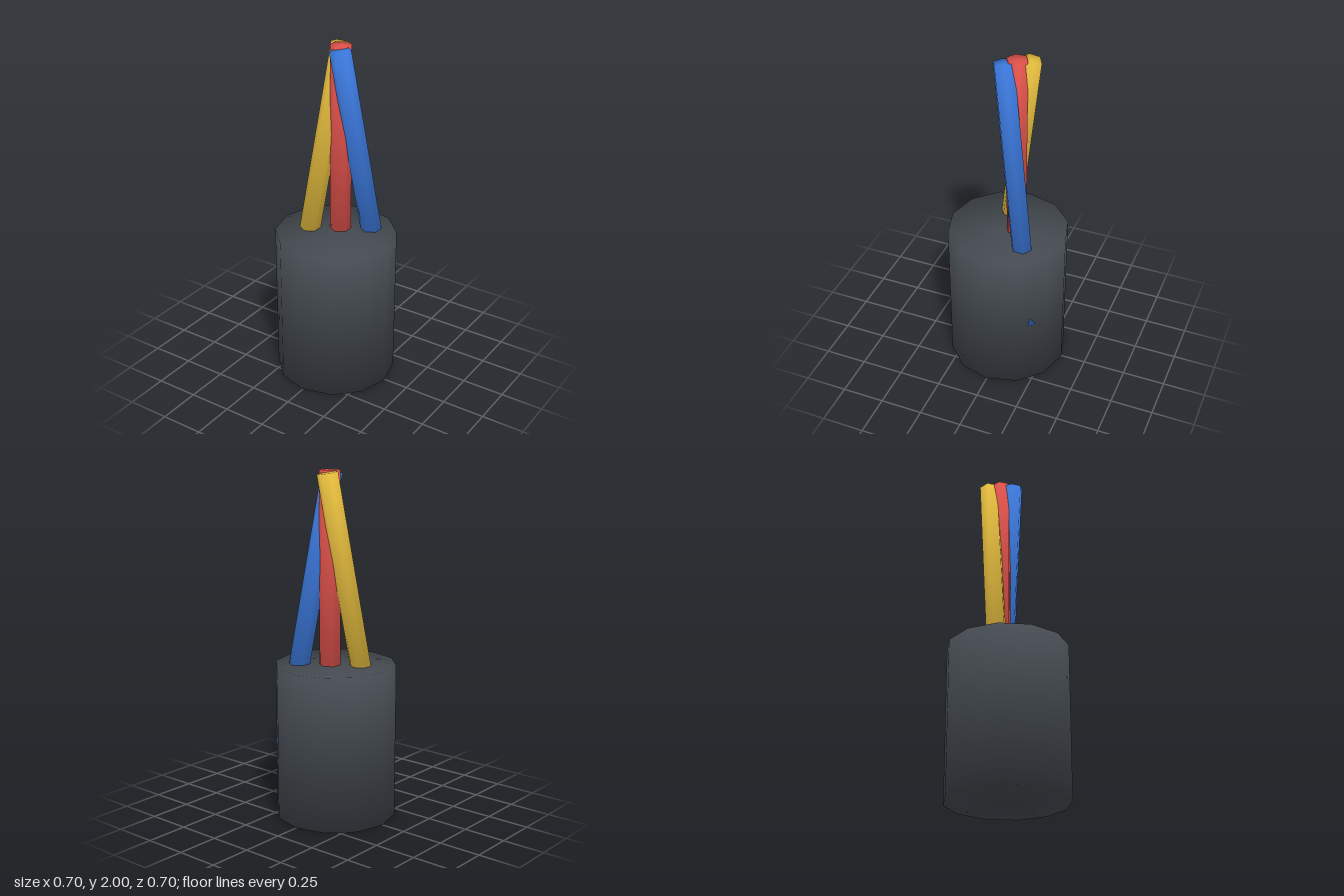
import * as THREE from 'three';

const material = (name, color) => {
  const m = new THREE.MeshStandardMaterial({ color });
  m.name = name;
  return m;
};

// Solid prism whose normals blend smoothly from the sides into both caps
function softPrism(radius, height, sides) {
  const geometry = new THREE.CylinderGeometry(radius, radius, height, sides);
  const { position, normal } = geometry.attributes;
  const n = new THREE.Vector3();
  for (let i = 0; i < position.count; i++) {
    n.set(position.getX(i) / radius, Math.sign(position.getY(i)), position.getZ(i) / radius);
    n.normalize();
    normal.setXYZ(i, n.x, n.y, n.z);
  }
  return geometry;
}

export function createModel() {
  const model = new THREE.Group();
  model.name = 'pencilCup';

  // Twelve-sided cup
  const cup = new THREE.Mesh(softPrism(0.35, 0.9, 12), material('charcoal', 0x444a50));
  cup.name = 'cup';
  cup.position.y = 0.45;
  model.add(cup);

  // Six-sided pencils: one upright, two leaning across it
  const pencilShape = softPrism(0.06, 1.6, 6);
  const pencils = [
    ['yellow', 0xe0b83c, -1],
    ['red', 0xdc504a, 0],
    ['blue', 0x3a76d8, 1],
  ];
  for (const [name, color, side] of pencils) {
    const pencil = new THREE.Mesh(pencilShape, material(name, color));
    pencil.name = name + 'Pencil';
    pencil.position.set(0.119 * side, 1.2, -0.05 - 0.048 * side);
    pencil.rotation.set(0.14 * side, 0, 0.104 * side);
    model.add(pencil);
  }
  return model;
}
